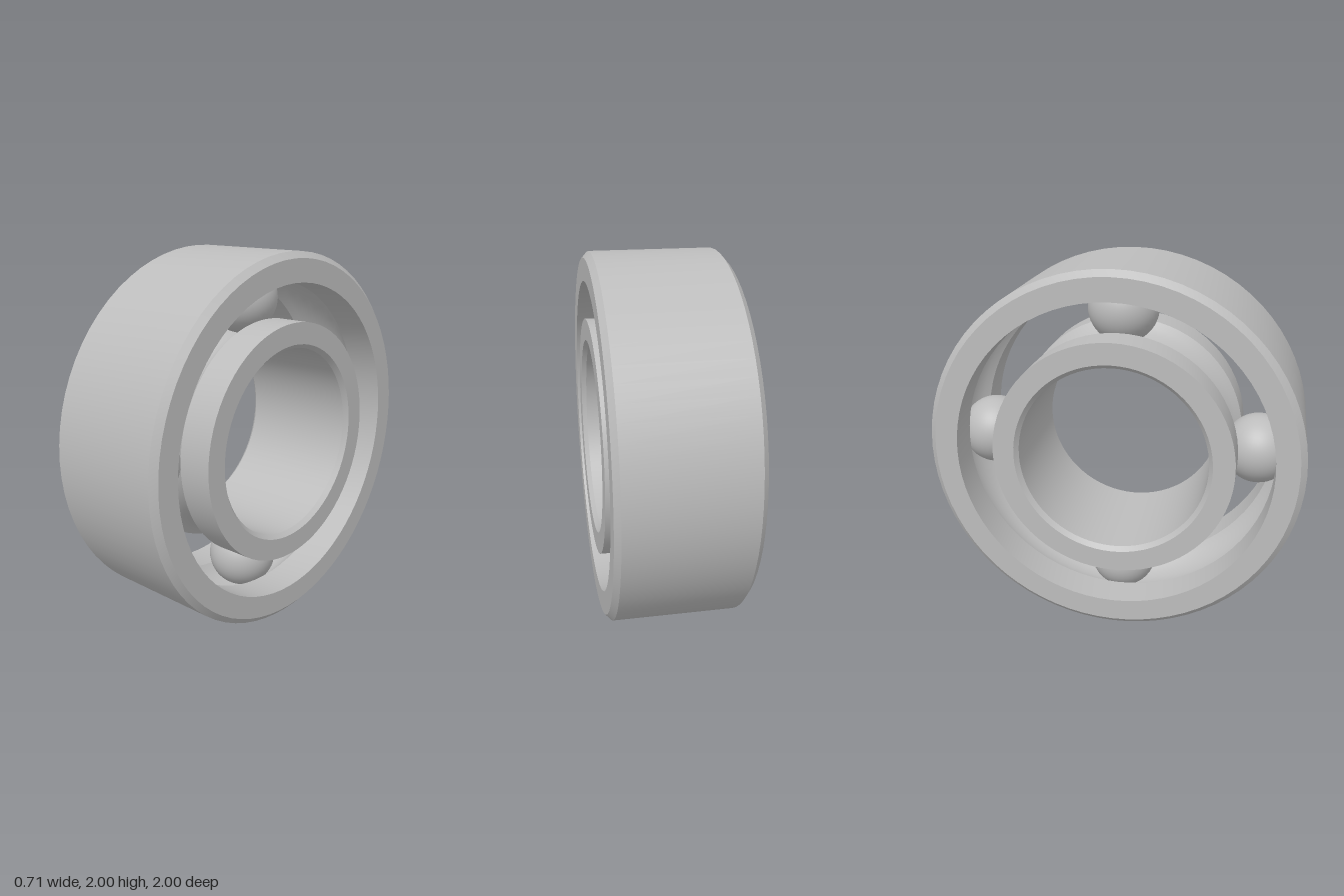
import * as THREE from 'three';
import { toCreasedNormals } from 'three/addons/utils/BufferGeometryUtils.js';

const HALF_WIDTH = 0.355;
const PITCH = 0.745;      // radius of the circle through the ball centres
const BALL = 0.19;
const GROOVE = 0.195;

// Circular raceway between two angles, in (radius, axial) coordinates
function groove(from, to, steps = 10) {
  return Array.from({ length: steps + 1 }, (_, i) => {
    const a = from + (to - from) * i / steps;
    return [PITCH + GROOVE * Math.cos(a), GROOVE * Math.sin(a)];
  });
}

// Revolve a closed section into a ring whose axis lies along x
function ring(name, section, material) {
  const points = [...section, section[0]].map(([r, h]) => new THREE.Vector2(r, h));
  const geometry = new THREE.LatheGeometry(points, 72).rotateZ(-Math.PI / 2);
  const mesh = new THREE.Mesh(toCreasedNormals(geometry, Math.PI / 7), material);
  mesh.name = name;
  return mesh;
}

export function createModel() {
  const steel = new THREE.MeshStandardMaterial({ color: 0xbcbcbc });
  steel.name = 'steel';
  const w = HALF_WIDTH;
  const lip = Math.acos(0.1 / GROOVE); // where the raceway meets the land

  const bearing = new THREE.Group();
  bearing.name = 'ballBearing';

  // Outer race: chamfered outside, grooved inside
  bearing.add(ring('outerRace', [
    [0.845, -w], [0.967, -w], [1, -w + 0.03], [1, w - 0.03], [0.967, w], [0.845, w],
    ...groove(lip, -lip),
  ], steel));

  // Inner race: grooved outside, chamfered bore
  bearing.add(ring('innerRace', [
    [0.508, -w + 0.025], [0.53, -w], [0.645, -w],
    ...groove(Math.PI + lip, Math.PI - lip),
    [0.645, w], [0.53, w], [0.508, w - 0.025],
  ], steel));

  // Four balls seated in the raceways
  const ballGeometry = new THREE.SphereGeometry(BALL, 40, 24);
  for (let i = 0; i < 4; i++) {
    const a = i * Math.PI / 2;
    const ball = new THREE.Mesh(ballGeometry, steel);
    ball.name = `ball${i + 1}`;
    ball.position.set(0, PITCH * Math.sin(a), PITCH * Math.cos(a));
    bearing.add(ball);
  }

  bearing.position.y = 1;
  const model = new THREE.Group();
  model.name = 'bearingModel';
  model.add(bearing);
  return model;
}
